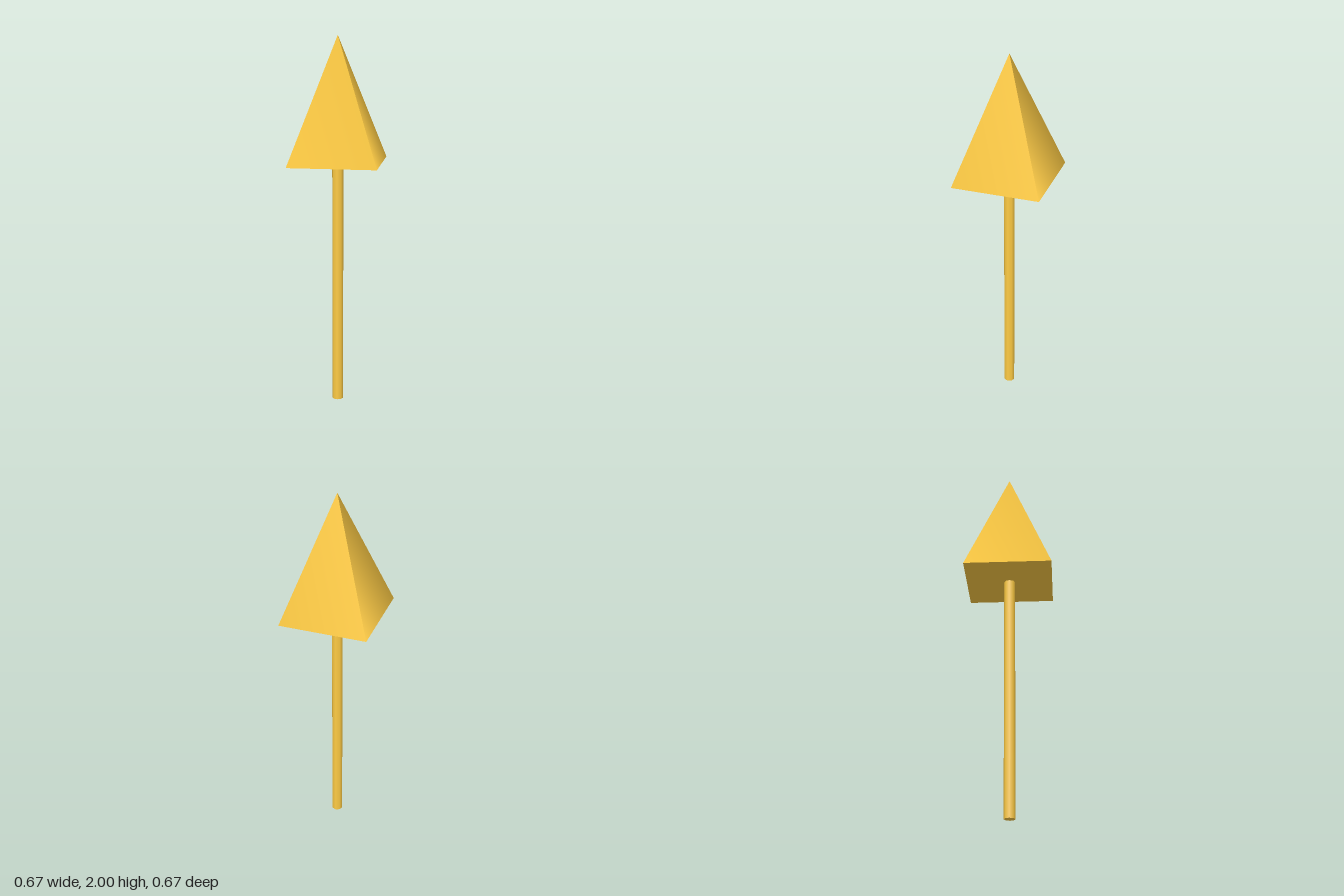
import * as THREE from 'three';

export function createModel() {
  const group = new THREE.Group();
  const gold = new THREE.MeshStandardMaterial({ color: 0xffcc44 });

  const add = (name, geometry, y) => {
    const mesh = new THREE.Mesh(geometry, gold);
    mesh.name = name;
    mesh.position.y = y;
    group.add(mesh);
  };

  const headHeight = 2 / 3;
  const shaftHeight = 2 - headHeight;

  // Slim eight-sided shaft standing on the ground
  add('shaft', new THREE.CylinderGeometry(0.03, 0.03, shaftHeight, 8), shaftHeight / 2);

  // Four-sided pointed head with smooth normals, corners on the axes
  add('arrowHead', new THREE.ConeGeometry(1 / 3, headHeight, 4), shaftHeight + headHeight / 2);

  return group;
}
